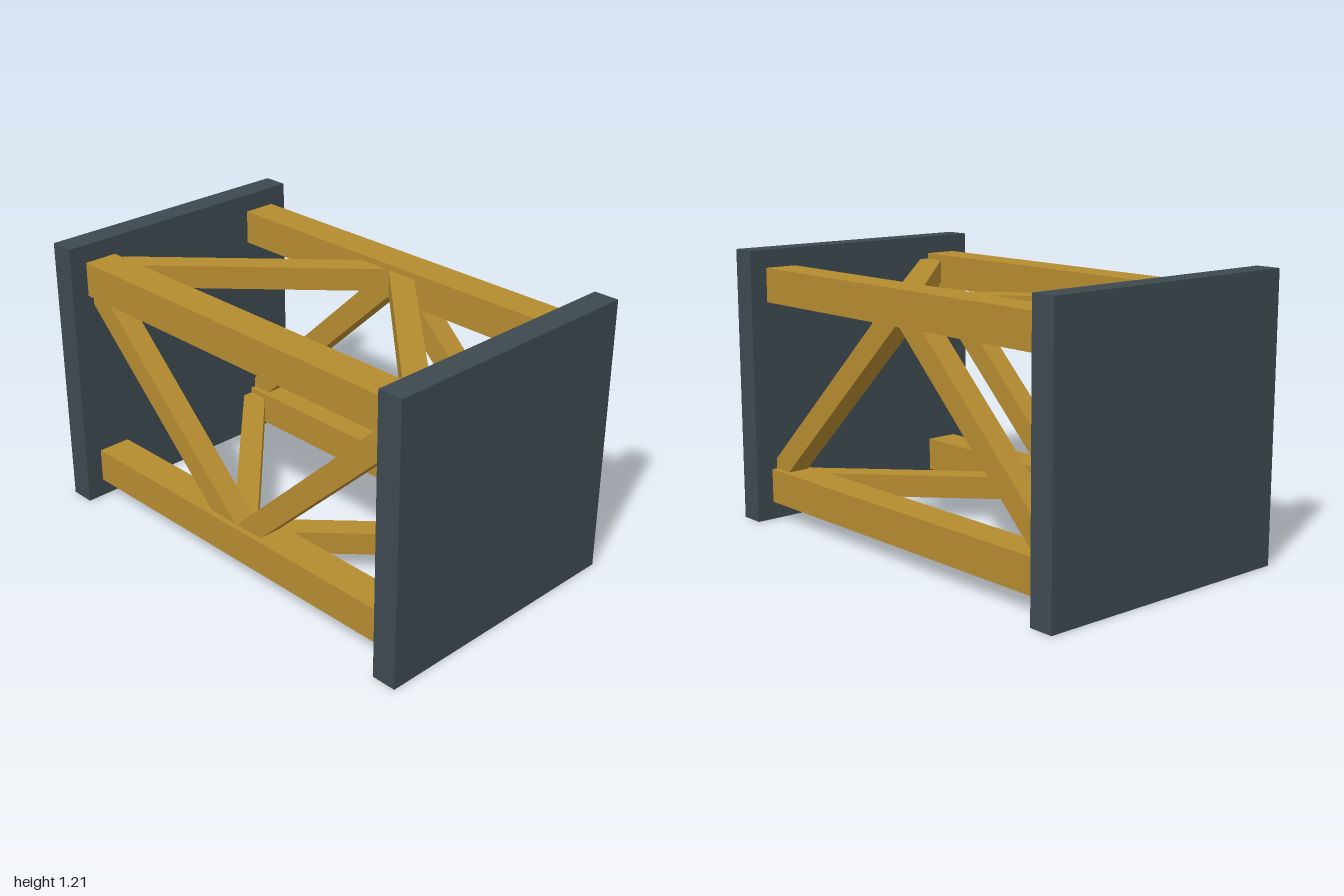
import * as THREE from 'three';

const SIZE = 1.208;   // end plate side
const MID = SIZE / 2; // height of the truss axis
const OFF = 0.45;     // chord distance from the axis
const END = 0.945;    // plate centre, where chords and braces end

export function createModel() {
  const group = new THREE.Group();
  const wood = new THREE.MeshStandardMaterial({ name: 'ochre', color: 0xb58b30 });
  const slate = new THREE.MeshStandardMaterial({ name: 'slate', color: 0x3d4950 });

  const box = (name, w, h, d, material, parent) => {
    const mesh = new THREE.Mesh(new THREE.BoxGeometry(w, h, d), material);
    mesh.name = name;
    parent.add(mesh);
    return mesh;
  };

  // square end plates
  for (const s of [-1, 1]) {
    box(s > 0 ? 'leftEndPlate' : 'rightEndPlate', 0.11, SIZE, SIZE, slate, group)
      .position.set(s * END, MID, 0);
  }

  // one chord and one pair of braces per side, turned around the long axis
  ['front', 'bottom', 'back', 'top'].forEach((side, i) => {
    const panel = new THREE.Group();
    panel.name = side + 'Panel';
    panel.position.y = MID;
    panel.rotation.x = i * Math.PI / 2;
    group.add(panel);

    box(side + 'Chord', 2 * END, 0.15, 0.15, wood, panel).position.set(0, OFF, OFF);

    // braces meet at the middle of the lower or upper chord
    const apex = side === 'front' || side === 'top' ? -1 : 1;
    // panel-local direction of the apex, after the quarter turns
    const dir = { front: -1, bottom: 1, back: -1, top: 1 }[side];
    for (const s of [-1, 1]) {
      const brace = box(side + (s > 0 ? 'LeftBrace' : 'RightBrace'),
        Math.hypot(END, 2 * OFF), 0.1, 0.1, wood, panel);
      brace.position.set(s * END / 2, 0, OFF);
      brace.rotation.z = -dir * s * Math.atan2(2 * OFF, END);
    }
  });
  return group;
}
